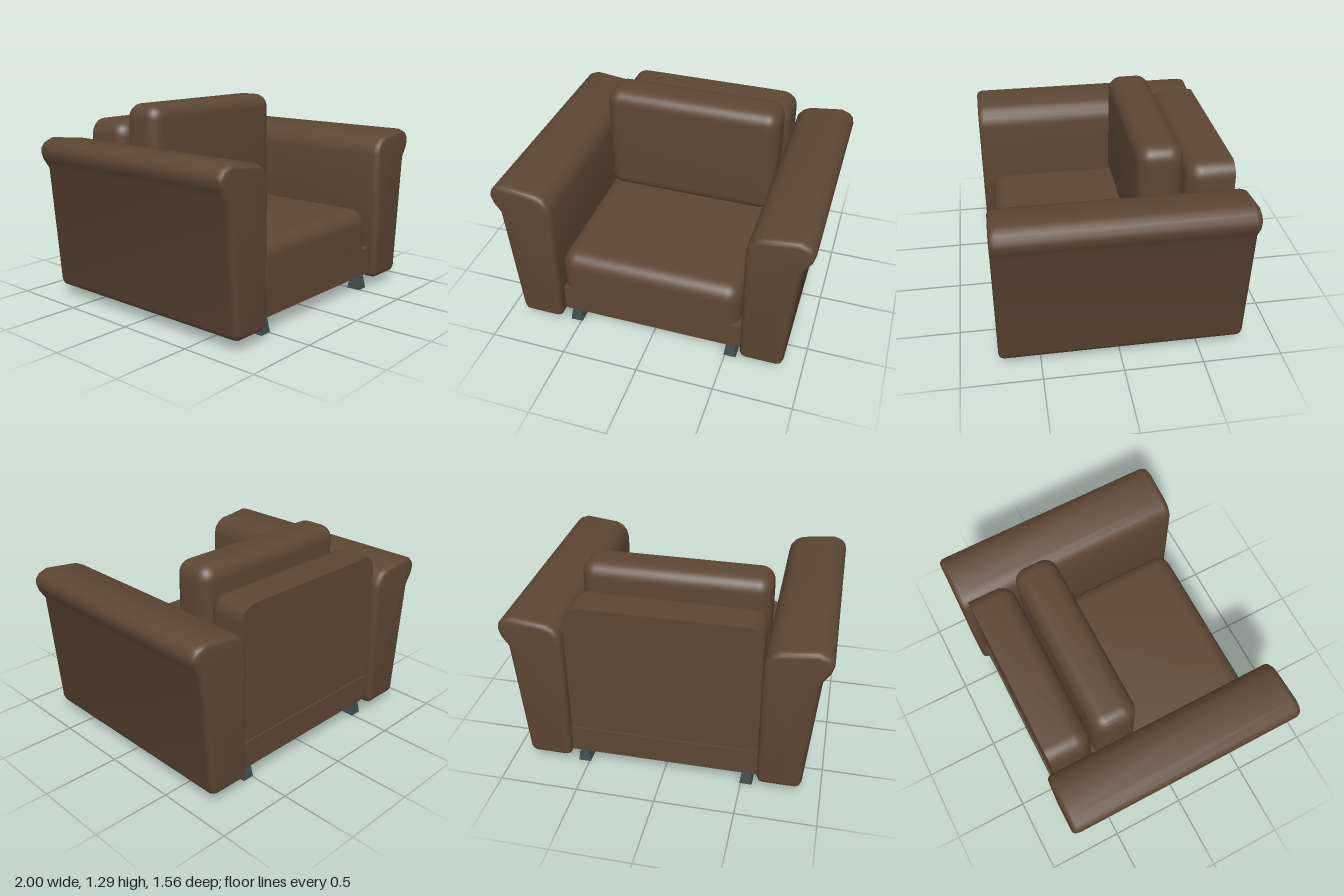
import * as THREE from 'three';
import { toCreasedNormals } from 'three/addons/utils/BufferGeometryUtils.js';
import { RoundedBoxGeometry } from 'three/addons/geometries/RoundedBoxGeometry.js';

// Outer outline of the model's left arm, seen from the front.
const ARM_PROFILE = [
  [0.60, 0.105], [0.611, 0.077], [0.638, 0.065], [0.842, 0.065], [0.867, 0.077], [0.880, 0.105],
  [0.942, 0.87], [0.985, 0.935], [0.999, 0.985], [0.993, 1.02], [0.968, 1.05], [0.91, 1.073],
  [0.69, 1.047], [0.645, 1.025], [0.612, 0.985], [0.60, 0.93],
];

export function createModel() {
  const model = new THREE.Group();
  model.name = 'armchair';
  const leather = new THREE.MeshStandardMaterial({ color: 0x5d4634 });
  leather.name = 'brown leather';
  const metal = new THREE.MeshStandardMaterial({ color: 0x414d4e });
  metal.name = 'dark grey metal';

  function add(name, geometry, material) {
    const mesh = new THREE.Mesh(geometry, material);
    mesh.name = name;
    model.add(mesh);
    return mesh;
  }

  // Rounded block between two corners, cut flat below floorY and behind backZ.
  function cushion(name, min, max, radius, floorY, backZ) {
    const size = max.map((v, i) => v - min[i]);
    const geometry = new RoundedBoxGeometry(...size, 5, radius);
    geometry.translate(...max.map((v, i) => (v + min[i]) / 2));
    const p = geometry.attributes.position;
    for (let i = 0; i < p.count; i++) {
      p.setY(i, Math.max(p.getY(i), floorY));
      p.setZ(i, Math.max(p.getZ(i), backZ));
    }
    return add(name, toCreasedNormals(geometry, 0.9), leather);
  }

  // Flared arm, extruded front to back with soft ends.
  function arm(name, side, backZ, frontZ) {
    const shape = new THREE.Shape(ARM_PROFILE.map(([x, y]) => new THREE.Vector2(side * x, y)));
    const bevel = 0.04;
    const geometry = new THREE.ExtrudeGeometry(shape, {
      depth: frontZ - backZ - 2 * bevel,
      bevelThickness: bevel, bevelSize: 0.03, bevelOffset: -0.03, bevelSegments: 4,
    });
    geometry.translate(0, 0, backZ + bevel);
    add(name, toCreasedNormals(geometry, 0.9), leather);
  }

  arm('leftArm', 1, -0.78, 0.76);
  arm('rightArm', -1, -0.78, 0.78);

  // Seat frame
  add('base', new THREE.BoxGeometry(1.2, 0.18, 1.45), leather).position.set(0, 0.19, -0.015);

  // Upholstery
  cushion('seatCushion', [-0.61, 0.17, -0.46], [0.575, 0.56, 0.715], 0.1, 0.28, -0.45);
  cushion('backCushion', [-0.595, 0.53, -0.42], [0.583, 1.287, -0.137], 0.09, 0.563, -0.42);
  cushion('backrest', [-0.597, 0.17, -0.84], [0.597, 1.162, -0.44], 0.1, 0.28, -0.73);

  // Square legs, wider at the foot
  for (const x of [-0.532, 0.532]) {
    for (const z of [-0.683, 0.663]) {
      const geometry = new THREE.CylinderGeometry(0.027 * Math.SQRT2, 0.04 * Math.SQRT2, 0.1, 4)
        .rotateY(Math.PI / 4).scale(1, 1, 1.18);
      const flat = toCreasedNormals(geometry, 0.3);
      const name = (z > 0 ? 'front' : 'back') + (x > 0 ? 'Left' : 'Right') + 'Leg';
      add(name, flat, metal).position.set(x, 0.05, z);
    }
  }
  return model;
}
